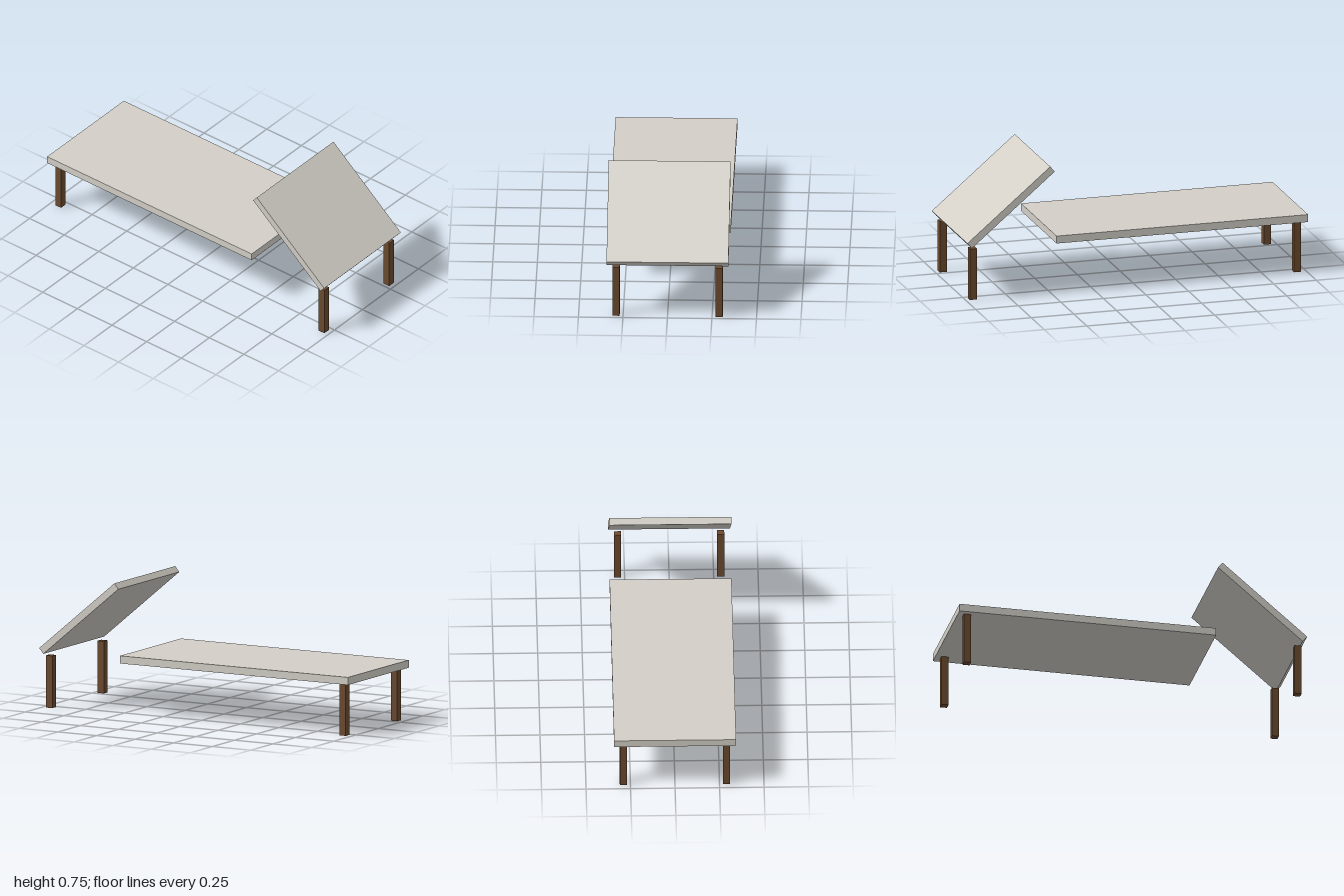
import * as THREE from 'three';

const WIDTH = 0.685, THICK = 0.0405;
const LEG = 0.041, LEG_HEIGHT = 0.297;

export function createModel() {
  const group = new THREE.Group();
  group.name = 'lounger';

  const board = new THREE.MeshStandardMaterial({ color: 0xd3cfc7 });
  board.name = 'pale board';
  const wood = new THREE.MeshStandardMaterial({ color: 0x6b4a2f });
  wood.name = 'brown wood';

  const addBox = (name, material, size, position) => {
    const mesh = new THREE.Mesh(new THREE.BoxGeometry(...size), material);
    mesh.name = name;
    mesh.position.set(...position);
    group.add(mesh);
    return mesh;
  };

  // Flat bed board
  addBox('bedBoard', board, [WIDTH, 0.0435, 1.477], [0, LEG_HEIGHT + 0.0218, -0.2615]);

  // Tilted backrest, low at the front and rising toward the bed
  const backrest = addBox('backrest', board, [WIDTH, THICK, 0.635], [0, 0.53, 0.744]);
  backrest.rotation.x = THREE.MathUtils.degToRad(40);

  // Four square legs
  for (const [sideName, x] of [['Left', 0.2895], ['Right', -0.2895]]) {
    for (const [endName, z] of [['front', 0.955], ['back', -0.947]]) {
      addBox(`${endName}${sideName}Leg`, wood, [LEG, LEG_HEIGHT, LEG], [x, LEG_HEIGHT / 2, z]);
    }
  }

  return group;
}
